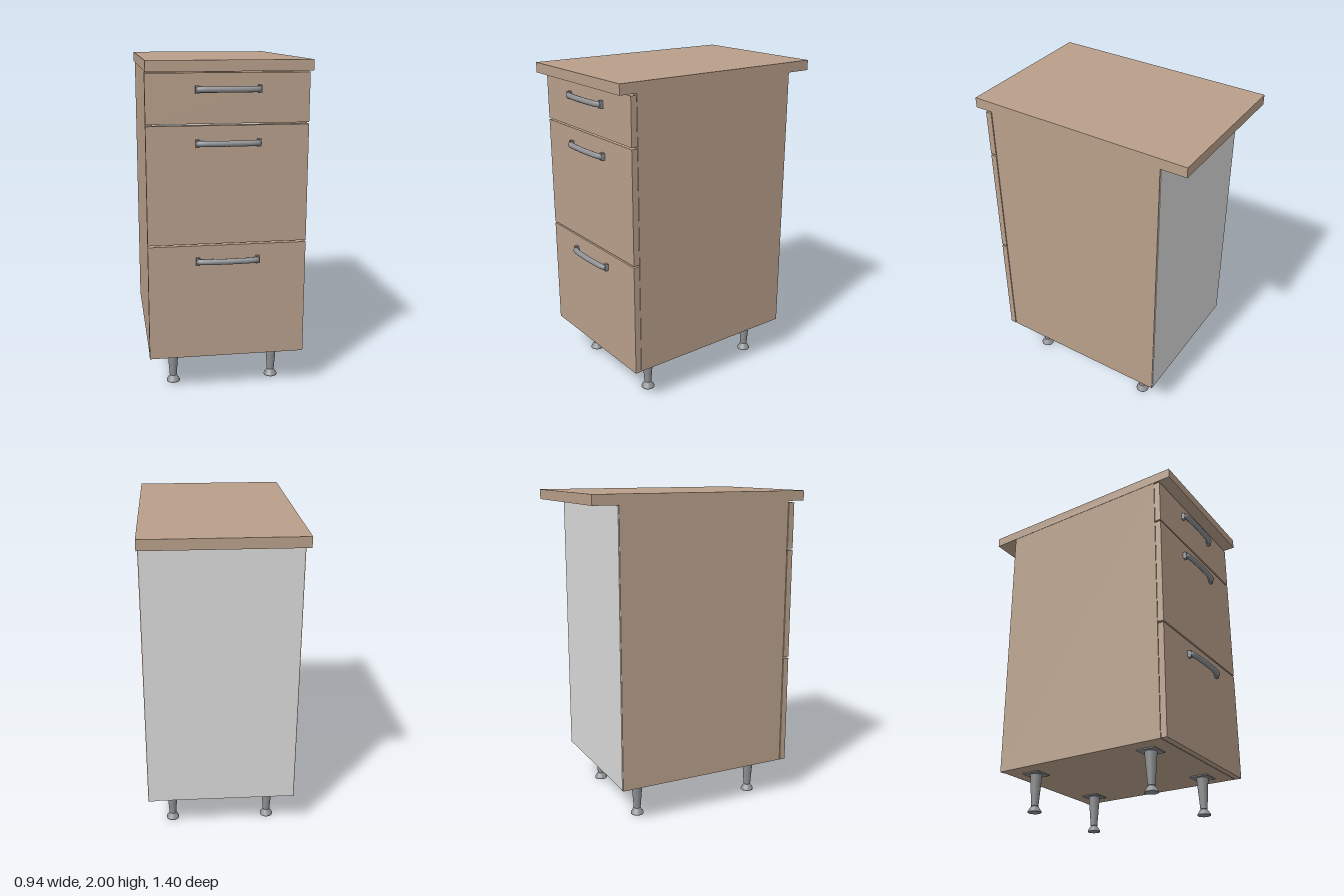
import * as THREE from 'three';

export function createModel() {
  const model = new THREE.Group();
  model.name = 'drawerCabinet';
  const wood = new THREE.MeshStandardMaterial({ name: 'tan wood', color: 0xb89f8a });
  const board = new THREE.MeshStandardMaterial({ name: 'pale backing board', color: 0xd8d8d8 });
  const metal = new THREE.MeshStandardMaterial({ name: 'grey metal', color: 0x8e9093 });

  const add = (name, geometry, material, parent = model) => {
    const mesh = new THREE.Mesh(geometry, material);
    mesh.name = name;
    parent.add(mesh);
    return mesh;
  };
  // Box given by its lower and upper limits on each axis
  const box = (name, [x0, x1], [y0, y1], [z0, z1], material = wood, parent = model) => {
    const mesh = add(name, new THREE.BoxGeometry(x1 - x0, y1 - y0, z1 - z0), material, parent);
    mesh.position.set((x0 + x1) / 2, (y0 + y1) / 2, (z0 + z1) / 2);
    return mesh;
  };

  // Worktop and hollow carcass
  box('worktop', [-0.468, 0.468], [1.938, 2], [-0.7, 0.7]);
  for (const [name, s] of [['leftSide', 1], ['rightSide', -1]]) {
    box(name, [s * 0.447 - 0.019, s * 0.447 + 0.019], [0.24, 1.938], [-0.54, 0.588]);
  }
  box('bottomPanel', [-0.428, 0.428], [0.24, 0.278], [-0.534, 0.588]);
  box('frontRail', [-0.428, 0.428], [1.9, 1.938], [0.39, 0.588]);
  box('backRail', [-0.428, 0.428], [1.9, 1.938], [-0.53, -0.33]);
  box('backPanel', [-0.46, 0.46], [0.246, 1.934], [-0.544, -0.534], board);

  // Drawer fronts, each with a bowed pull handle
  const path = new THREE.CatmullRomCurve3([
    [-0.172, 0.632], [-0.171, 0.648], [-0.15, 0.656], [-0.08, 0.661], [0, 0.663],
    [0.08, 0.661], [0.15, 0.656], [0.171, 0.648], [0.172, 0.632],
  ].map(([x, z]) => new THREE.Vector3(x, 0, z)));
  const bar = new THREE.TubeGeometry(path, 48, 0.017, 14);
  const drawers = [
    ['top', 1.645, 1.928, 1.837],
    ['middle', 0.945, 1.635, 1.535],
    ['bottom', 0.24, 0.935, 0.842],
  ];
  for (const [name, low, high, handleY] of drawers) {
    box(name + 'DrawerFront', [-0.468, 0.468], [low, high], [0.592, 0.63]);
    const handle = new THREE.Group();
    handle.name = name + 'Handle';
    handle.position.y = handleY;
    model.add(handle);
    add('handleBar', bar, metal, handle);
    for (const s of [-1, 1]) {
      box('handleFoot', [s * 0.177 - 0.011, s * 0.177 + 0.011], [-0.022, 0.022], [0.63, 0.652], metal, handle);
    }
  }

  // Tapered legs with a mounting plate and a flared foot
  const profile = [
    [0, 0], [0.041, 0], [0.041, 0.008], [0.036, 0.016], [0.024, 0.034],
    [0.018, 0.038], [0.022, 0.04], [0.037, 0.234], [0, 0.234],
  ].map(([r, y]) => new THREE.Vector2(r, y));
  // Flat-shaded rings keep the foot edges crisp
  const legMetal = metal;
  const legParts = profile.slice(1).map((p, i) => new THREE.LatheGeometry([profile[i], p], 24));
  for (const x of [-0.313, 0.313]) {
    for (const z of [-0.383, 0.437]) {
      const leg = new THREE.Group();
      leg.name = (z > 0 ? 'front' : 'back') + (x > 0 ? 'LeftLeg' : 'RightLeg');
      leg.position.set(x, 0, z);
      model.add(leg);
      legParts.forEach((g) => add('legSection', g, legMetal, leg));
      box('mountingPlate', [-0.058, 0.058], [0.233, 0.24], [-0.058, 0.058], metal, leg);
    }
  }
  return model;
}
